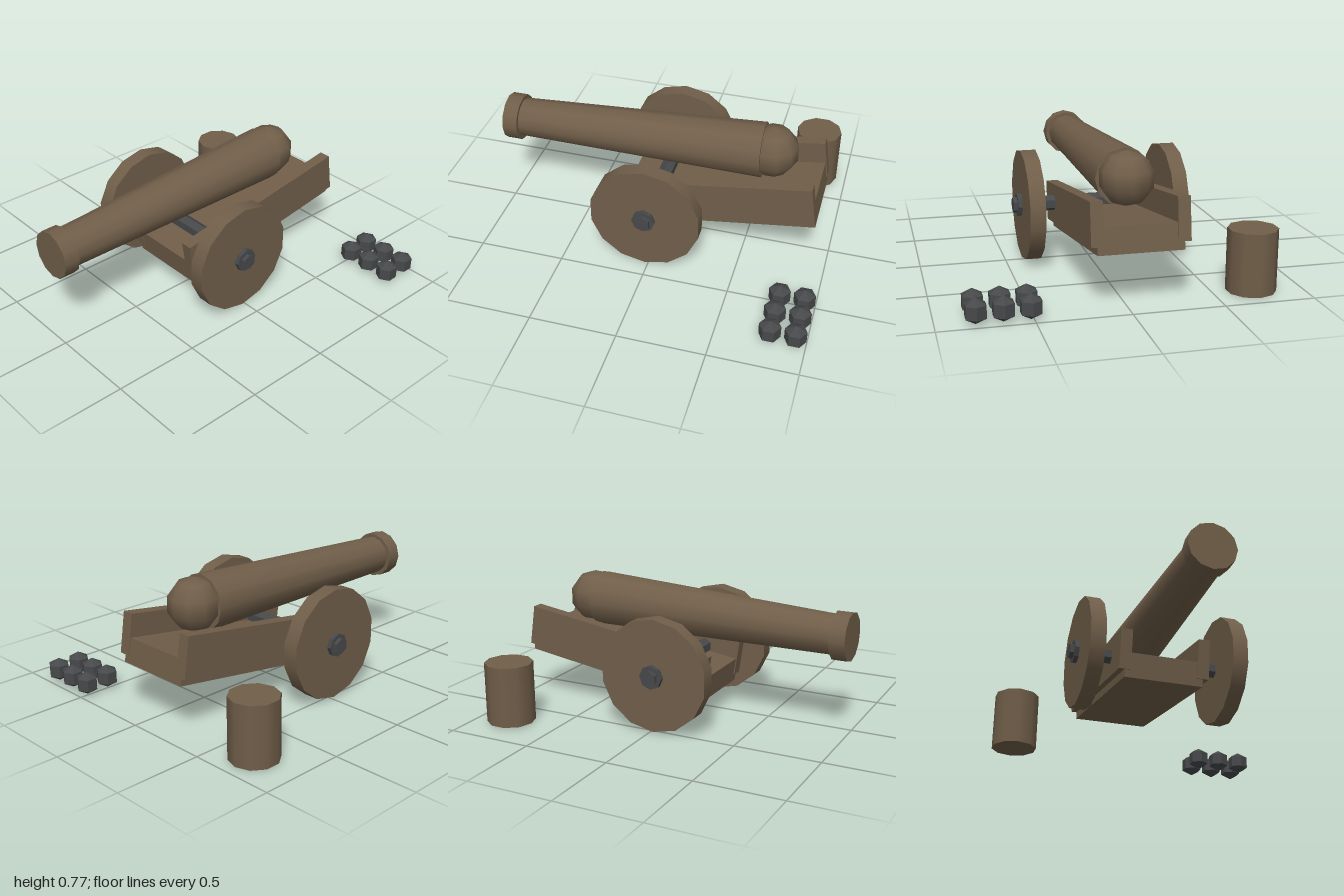
import * as THREE from 'three';

export function createModel() {
  const root = new THREE.Group();
  root.name = 'cannonSet';
  const wood = new THREE.MeshStandardMaterial({ color: 0x705e49 });
  wood.name = 'brown';
  const iron = new THREE.MeshStandardMaterial({ color: 0x46484a, flatShading: true });
  iron.name = 'darkIron';
  const cx = -0.065; // centre line of the gun

  const add = (parent, name, geo, mat, x, y, z) => {
    const m = new THREE.Mesh(geo, mat);
    m.name = name;
    m.position.set(x, y, z);
    parent.add(m);
    return m;
  };
  // cylinder lying along x, with a corner pointing up
  const crossBar = (r, len, sides) =>
    new THREE.CylinderGeometry(r, r, len, sides).rotateZ(Math.PI / 2).rotateX(Math.PI / 2);

  // Barrel: tapered tube, muzzle ring and rounded breech
  const barrel = add(root, 'barrel',
    new THREE.CylinderGeometry(0.115, 0.161, 1.48, 12).rotateX(Math.PI / 2), wood, cx, 0.588, 0.175);
  barrel.rotation.x = 0.03;
  add(root, 'muzzleRing',
    new THREE.CylinderGeometry(0.138, 0.138, 0.09, 12).rotateX(Math.PI / 2), wood, cx, 0.563, 0.955);
  add(root, 'breech',
    new THREE.SphereGeometry(0.153, 10, 5).rotateY(Math.PI / 2), wood, cx, 0.618, -0.615);

  // Carriage: sloping bed between two side rails
  const carriage = new THREE.Group();
  carriage.name = 'carriage';
  carriage.position.set(cx, 0.375, -0.334);
  carriage.rotation.x = 0.149;
  root.add(carriage);
  add(carriage, 'bed', new THREE.BoxGeometry(0.465, 0.145, 1.14), wood, 0, -0.09, 0);
  for (const s of [-1, 1])
    add(carriage, 'sideRail', new THREE.BoxGeometry(0.068, 0.235, 1.153), wood, s * 0.232, 0, 0);

  // Axle, wheels and hubs
  add(root, 'axle', crossBar(0.046, 1.025, 6), iron, cx, 0.33, 0.02);
  for (const s of [-1, 1]) {
    add(root, 'wheel', crossBar(0.325, 0.09, 14), wood, cx + s * 0.419, 0.33, 0.02);
    add(root, 'hub', crossBar(0.068, 0.05, 8), iron, cx + s * 0.464, 0.33, 0.02);
  }

  // Powder keg
  add(root, 'keg', new THREE.CylinderGeometry(0.138, 0.138, 0.35, 10), wood, -0.717, 0.178, -0.803);

  // Two rows of cannonballs
  const ball = new THREE.SphereGeometry(0.07, 6, 3).rotateY(Math.PI / 2);
  for (const z of [-0.80, -0.94])
    for (const x of [0.515, 0.655, 0.795]) add(root, 'cannonball', ball, iron, x, 0.07, z);

  return root;
}
